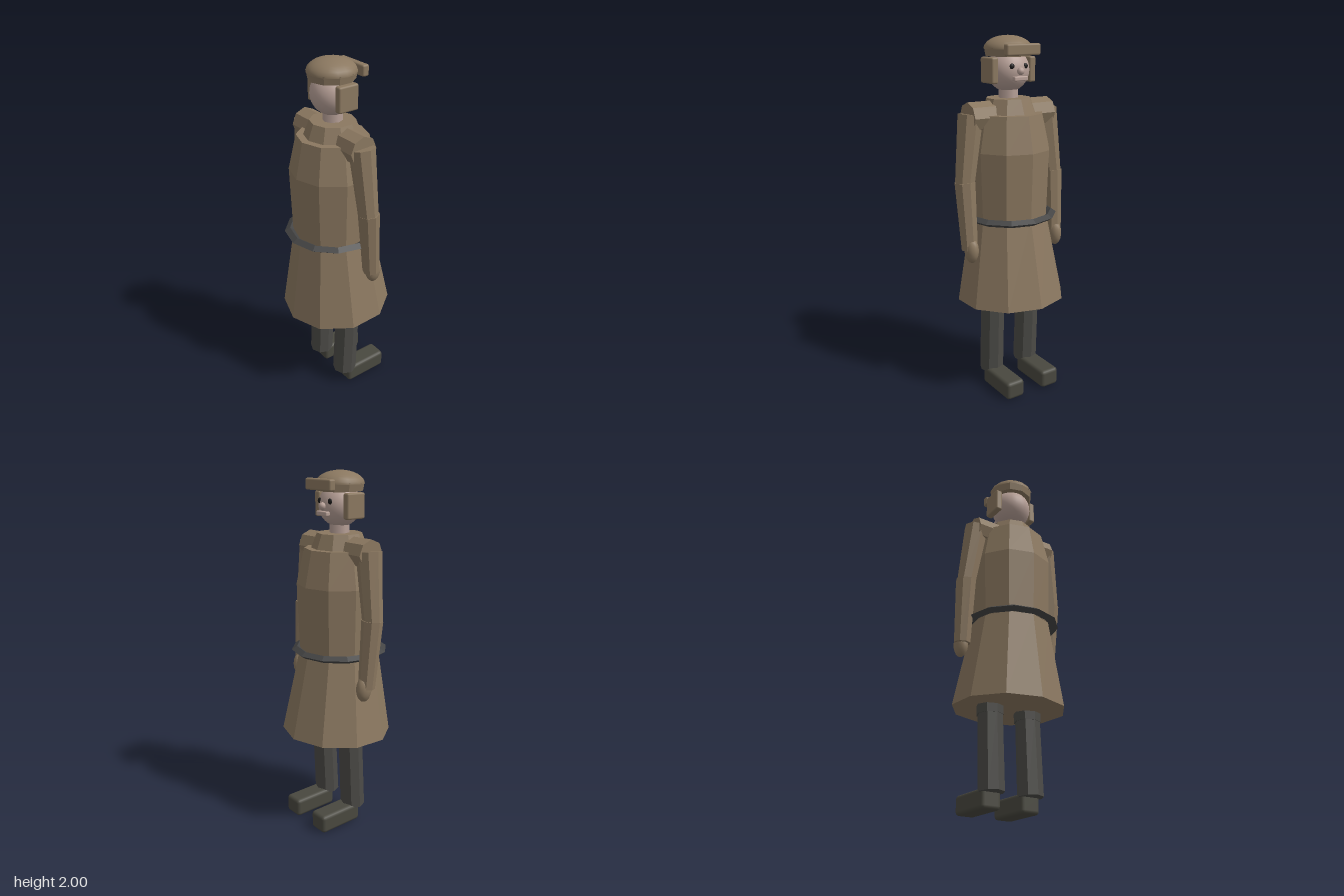
import * as THREE from 'three';
import { RoundedBoxGeometry } from 'three/addons/geometries/RoundedBoxGeometry.js';

const paint = (name, color, flat) => {
  const m = new THREE.MeshStandardMaterial({ color, flatShading: flat });
  m.name = name;
  return m;
};

export function createModel() {
  const root = new THREE.Group();
  root.name = 'coatedFigure';

  const cloth = paint('brown cloth', 0x8b7860, true);
  const softCloth = cloth.clone();
  softCloth.flatShading = false;
  const trousers = paint('dark grey trousers', 0x4c4b47, true);
  const boot = paint('boot leather', 0x49483f, false);
  const leather = paint('belt leather', 0x444444, true);
  const skin = paint('skin', 0xb7a097, false);
  const black = paint('eye black', 0x1c1a1a, false);

  const add = (name, geometry, material, x = 0, y = 0, z = 0, parent = root) => {
    const mesh = new THREE.Mesh(geometry, material);
    mesh.name = name;
    mesh.position.set(x, y, z);
    parent.add(mesh);
    return mesh;
  };

  // Tapered faceted limb running from point a (bottom) to point b (top)
  const up = new THREE.Vector3(0, 1, 0);
  const limb = (name, a, b, ra, rb, sides, material) => {
    const p = new THREE.Vector3(...a), q = new THREE.Vector3(...b);
    const dir = q.clone().sub(p);
    const mesh = add(name, new THREE.CylinderGeometry(rb, ra, dir.length(), sides), material);
    mesh.position.copy(p).add(q).multiplyScalar(0.5);
    mesh.quaternion.setFromUnitVectors(up, dir.normalize());
    return mesh;
  };
  const block = (name, w, h, d, r, material, x, y, z) =>
    add(name, new RoundedBoxGeometry(w, h, d, 2, r), material, x, y, z);

  // Coat
  const Z = 0.022;
  limb('coatSkirt', [0, 0.54, 0], [0, 1.03, Z], 0.31, 0.22, 10, cloth);
  limb('coatWaist', [0, 1.02, Z], [0, 1.4, Z], 0.222, 0.235, 10, cloth);
  limb('coatChest', [0, 1.4, Z], [0, 1.595, Z], 0.235, 0.192, 10, cloth);
  limb('collar', [0, 1.59, Z], [0, 1.675, Z], 0.155, 0.122, 10, cloth);

  // Belt with a diamond section
  const belt = add('belt', new THREE.TorusGeometry(0.24, 0.03, 4, 12), leather, 0, 1.028, Z);
  belt.rotation.x = Math.PI / 2;
  belt.scale.z = 0.65;

  // Shoulder yoke running across under the collar
  limb('shoulderYoke', [-0.257, 1.585, 0.02], [0.257, 1.585, 0.02], 0.08, 0.08, 8, cloth);

  // Arms, legs and feet, mirrored
  for (const s of [1, -1]) {
    const side = s > 0 ? 'left' : 'right';
    limb(side + 'UpperArm', [s * 0.29, 1.23, 0.007], [s * 0.24, 1.6, 0.02], 0.054, 0.07, 8, cloth);
    limb(side + 'Forearm', [s * 0.285, 0.875, -0.025], [s * 0.29, 1.245, 0.005], 0.046, 0.058, 8, cloth);
    const glove = add(side + 'Glove', new THREE.SphereGeometry(0.042, 12, 8), softCloth, s * 0.283, 0.872, -0.042);
    glove.scale.set(0.9, 1.7, 1.1);

    limb(side + 'Shin', [s * 0.12, 0.085, 0.025], [s * 0.12, 0.51, 0.006], 0.07, 0.068, 8, trousers);
    limb(side + 'Thigh', [s * 0.12, 0.49, 0.004], [s * 0.12, 0.75, 0], 0.073, 0.08, 8, trousers);
    block(side + 'Boot', 0.115, 0.105, 0.27, 0.02, boot, s * 0.12, 0.0525, -0.105);

    // Ear flap and eye
    block(side + 'EarFlap', 0.04, 0.135, 0.12, 0.01, softCloth, s * 0.119, 1.822, 0.022);
    const eye = add(side + 'Eye', new THREE.SphereGeometry(0.015, 10, 8), black, s * 0.042, 1.845, -0.077);
    eye.scale.z = 0.6;
  }

  // Neck, head and face, looking toward the toes
  limb('neck', [0, 1.64, Z], [0, 1.74, Z], 0.053, 0.053, 8, skin);
  add('head', new THREE.SphereGeometry(0.115, 24, 16), skin, 0, 1.82, 0.025);
  add('nose', new THREE.SphereGeometry(0.02, 10, 8), skin, 0, 1.82, -0.094);
  block('moustache', 0.085, 0.024, 0.028, 0.006, skin, 0, 1.782, -0.09);

  // Cap
  limb('capBand', [0, 1.893, 0.026], [0, 1.937, 0.026], 0.122, 0.13, 10, cloth);
  const dome = add('capDome', new THREE.SphereGeometry(0.131, 16, 8, 0, Math.PI * 2, 0, Math.PI / 2), softCloth, 0, 1.93, 0.026);
  dome.scale.y = 0.07 / 0.131;
  block('capFrontFlap', 0.21, 0.06, 0.04, 0.01, softCloth, 0, 1.93, -0.109);

  return root;
}
